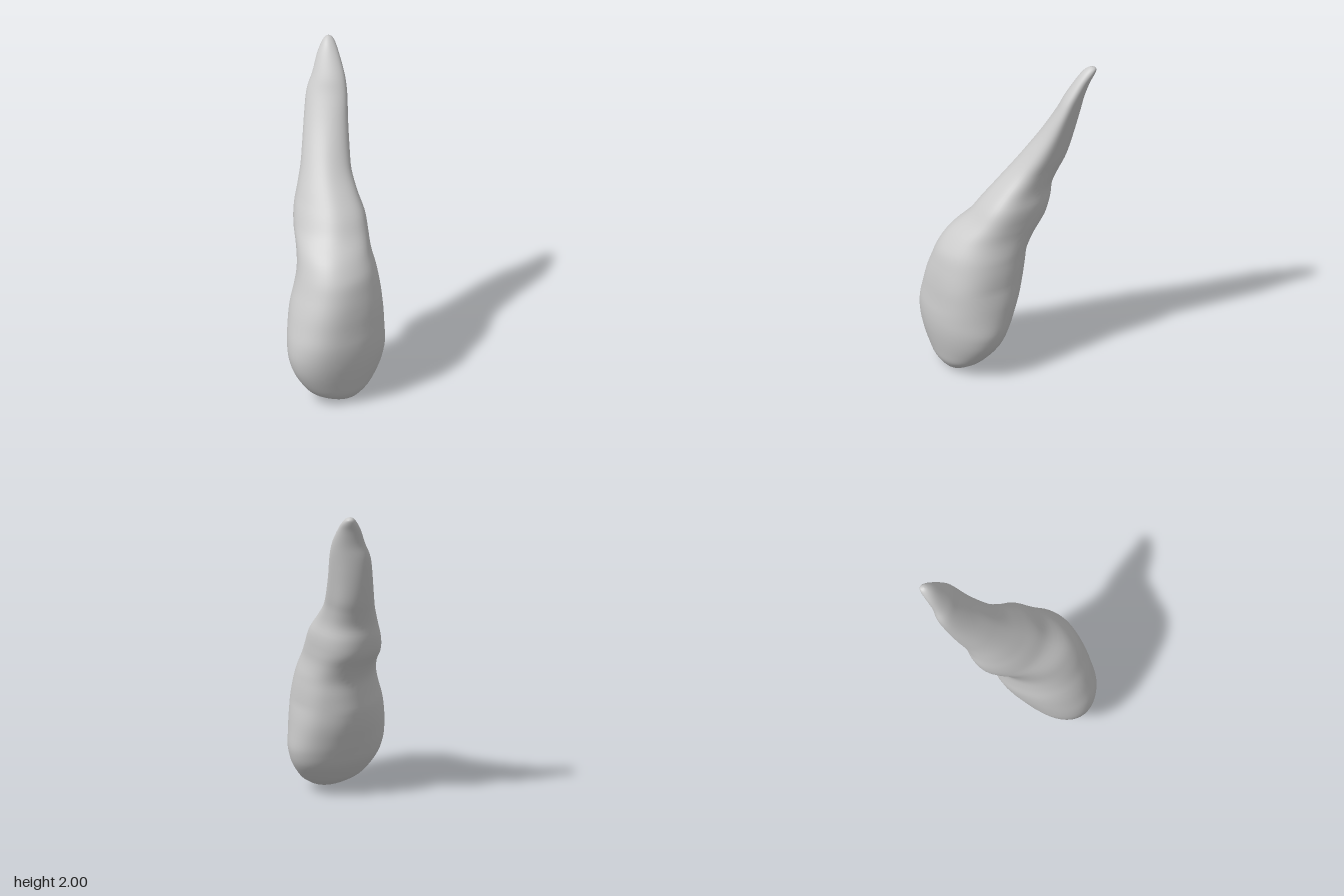
import * as THREE from 'three';

// Horizontal sections: [y, xMin, xMax, zMin, zMax]
const SECTIONS = [
  [0, 0.09, 0.09, 0.29, 0.29],
  [0.01, 0.03, 0.16, 0.22, 0.34],
  [0.05, -0.06, 0.21, 0.14, 0.41],
  [0.1, -0.12, 0.245, 0.07, 0.45],
  [0.2, -0.19, 0.285, -0.02, 0.495],
  [0.3, -0.225, 0.305, -0.065, 0.517],
  [0.4, -0.24, 0.307, -0.09, 0.517],
  [0.5, -0.247, 0.304, -0.11, 0.495],
  [0.6, -0.245, 0.297, -0.12, 0.47],
  [0.7, -0.23, 0.28, -0.13, 0.435],
  [0.8, -0.225, 0.255, -0.14, 0.395],
  [0.9, -0.25, 0.215, -0.175, 0.33],
  [1.0, -0.295, 0.18, -0.225, 0.225],
  [1.1, -0.305, 0.145, -0.25, 0.15],
  [1.2, -0.295, 0.085, -0.26, 0.07],
  [1.3, -0.29, 0.03, -0.3, -0.01],
  [1.4, -0.295, 0.0, -0.345, -0.085],
  [1.55, -0.303, -0.032, -0.388, -0.19],
  [1.7, -0.305, -0.055, -0.425, -0.28],
  [1.8, -0.28, -0.08, -0.45, -0.33],
  [1.9, -0.265, -0.125, -0.485, -0.39],
  [1.96, -0.248, -0.16, -0.513, -0.432],
  [1.99, -0.232, -0.187, -0.517, -0.465],
  [2.0, -0.21, -0.21, -0.49, -0.49],
];

// Oval skew and fullness of the diagonals: [y, skew, +x+z, -x+z, -x-z, +x-z]
const SHAPES = [
  [0, 0.45, 0, 0, 0, 0],
  [0.12, 0.43, -0.01, 0, 0, 0],
  [0.3, 0.32, -0.04, 0, 0.01, 0],
  [0.45, 0.2, -0.07, -0.01, 0.05, -0.04],
  [0.6, 0.08, -0.07, -0.01, 0.07, -0.07],
  [0.8, -0.05, -0.03, 0.01, 0.03, -0.04],
  [0.9, -0.14, -0.05, 0.02, 0, -0.05],
  [1.0, -0.23, -0.07, 0.03, -0.05, -0.06],
  [1.15, -0.25, -0.07, 0.04, -0.06, -0.07],
  [1.4, -0.1, -0.04, 0.03, -0.04, -0.09],
  [1.6, 0, 0, 0, 0, -0.06],
  [2.0, 0, 0, 0, 0, 0],
];

// Skew and diagonal fullness at height y
function shapeAt(y) {
  const k = Math.max(1, SHAPES.findIndex((c) => c[0] >= y));
  const a = SHAPES[k - 1], b = SHAPES[k];
  const f = (y - a[0]) / (b[0] - a[0]);
  return a.slice(1).map((v, n) => THREE.MathUtils.lerp(v, b[n + 1], f));
}

// Loft oval rings through the sections, filling or flattening each diagonal
function loft(sections, steps, sides) {
  const curve = (xi, zi) => new THREE.CatmullRomCurve3(
    sections.map((s) => new THREE.Vector3(s[xi], s[0], s[zi])), false, 'catmullrom', 0.5);
  const low = curve(1, 3), high = curve(2, 4);
  const positions = [], index = [];
  for (let i = 0; i <= steps; i++) {
    const a = low.getPoint(i / steps), b = high.getPoint(i / steps);
    const [skew, ...corners] = shapeAt(THREE.MathUtils.clamp(a.y, 0, 2));
    for (let j = 0; j < sides; j++) {
      const t = (j / sides) * Math.PI * 2;
      const r = 1 + corners[Math.floor((j * 4) / sides)] * Math.sin(2 * t) ** 2;
      positions.push(
        (a.x + b.x) / 2 + ((b.x - a.x) / 2) * r * Math.cos(t + skew / 2),
        a.y,
        (a.z + b.z) / 2 + ((b.z - a.z) / 2) * r * Math.sin(t - skew / 2));
      if (i === steps) continue;
      const p = i * sides + j, q = i * sides + ((j + 1) % sides);
      index.push(p, p + sides, q, q, p + sides, q + sides);
    }
  }
  const geometry = new THREE.BufferGeometry();
  geometry.setAttribute('position', new THREE.Float32BufferAttribute(positions, 3));
  geometry.setIndex(index);
  geometry.computeVertexNormals();
  return geometry;
}

export function createModel() {
  const group = new THREE.Group();
  group.name = 'tooth';
  // Crown and root form one continuous surface
  const body = new THREE.Mesh(
    loft(SECTIONS, (SECTIONS.length - 1) * 4, 48),
    new THREE.MeshStandardMaterial({ color: 0xcccccc }));
  body.name = 'crownAndRoot';
  group.add(body);
  return group;
}
